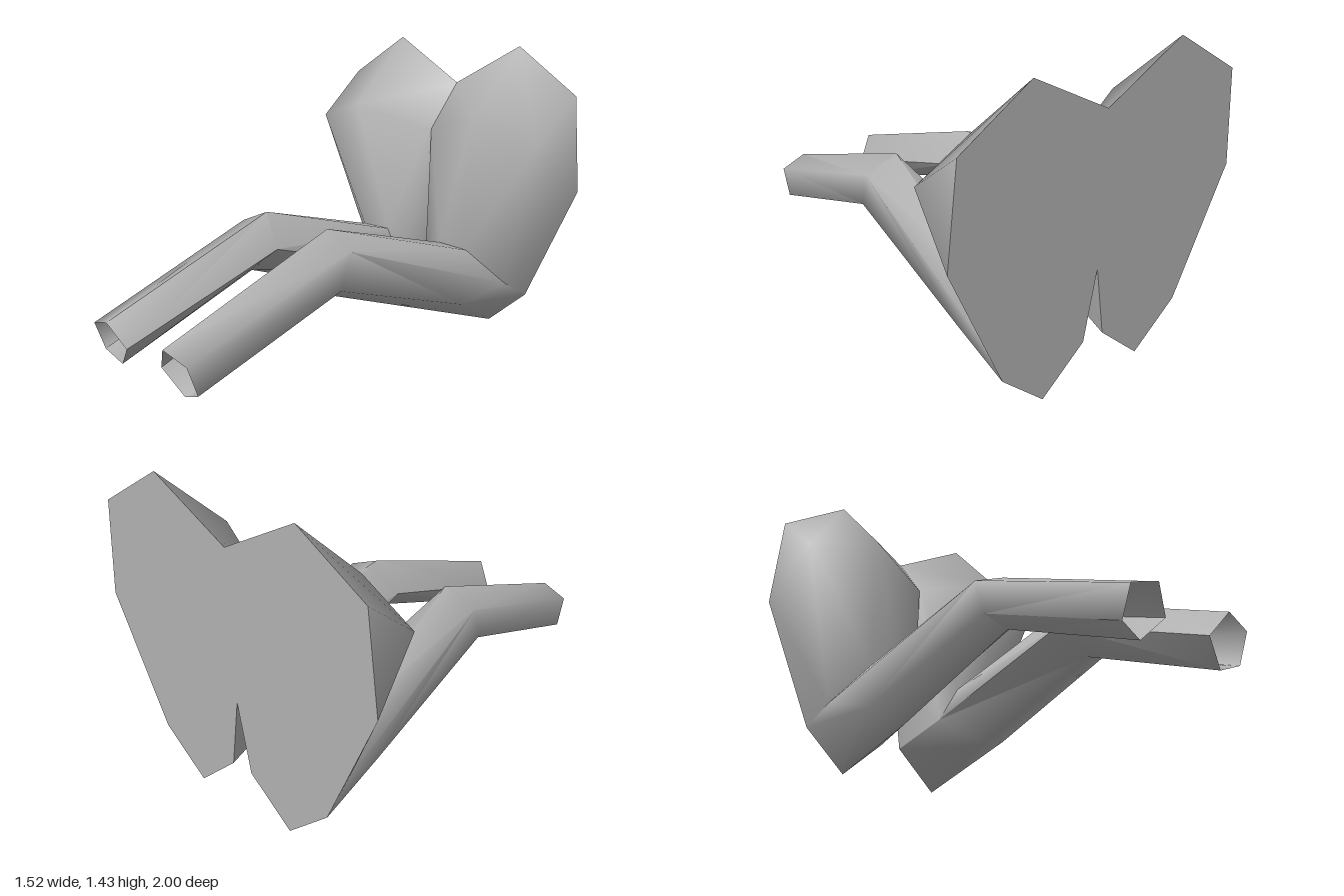
import * as THREE from 'three';
import { toCreasedNormals } from 'three/addons/utils/BufferGeometryUtils.js';

// Corner points of the left (+x) half
const points = {
  // flat back outline, clockwise from the top of the centre line
  R0: [0, 1.22, -1], R1: [0.385, 1.43, -1], R2: [0.72, 1.22, -1], R3: [0.76, 0.77, -1],
  R4: [0.49, 0.19, -1], R5: [0.27, 0, -1], R6: [0.055, 0.19, -1], R7: [0, 0.52, -1],
  M: [0.3, 0.6, -1],
  // front crest
  C: [0, 1, -0.81], P: [0.385, 1.1, -0.655], Q: [0.71, 1, -0.735],
  // hip ring where the leg leaves the body
  T: [0.18, 0.46, -0.69], U: [0.35, 0.455, -0.69], O: [0.47, 0.28, -0.85],
  L2: [0.41, 0.21, -0.6], L3: [0.24, 0.15, -0.55], H: [0.078, 0.28, -0.7],
  // knee ring
  K0: [0.21, 0.68, 0.11], K1: [0.375, 0.61, 0.12], K2: [0.365, 0.44, 0.17],
  K3: [0.24, 0.4, 0.18], K4: [0.097, 0.525, 0.14],
  // open end ring
  F0: [0.21, 0.345, 1], F1: [0.345, 0.305, 0.98], F2: [0.345, 0.17, 0.93],
  F3: [0.235, 0.127, 0.915], F4: [0.13, 0.235, 0.955],
};

const bodyFaces = [
  // upper slope and outer rim
  'R0 C P', 'R0 P R1', 'R1 P Q', 'R1 Q R2', 'R2 Q R3',
  // front, down to the hip
  'C T P', 'P T U', 'P U Q', 'Q U O', 'Q O R3', 'R3 O R4',
  // inner cleft
  'C H T', 'C R7 H', 'R7 R6 H',
];
// flat back
for (let i = 0; i < 8; i++) bodyFaces.push(`M R${i} R${(i + 1) % 8}`);

const legFaces = [
  // thigh
  'K0 K1 U T', 'K1 O U', 'K1 L2 O', 'K1 K2 L2', 'K2 K3 L3 L2', 'K3 K4 H L3', 'K4 K0 T H',
  // underside running to the back
  'O L2 R4', 'R4 L2 R5', 'L2 L3 R5', 'L3 R6 R5', 'H R6 L3',
];
// lower leg tube
for (let i = 0; i < 5; i++) {
  const j = (i + 1) % 5;
  legFaces.push(`F${i} F${j} K${j} K${i}`);
}

// Triangulates named faces; side -1 mirrors them in x
function buildGeometry(faces, side) {
  const positions = [];
  for (const face of faces) {
    const n = face.split(' ');
    for (let i = 1; i < n.length - 1; i++) {
      const tri = side > 0 ? [n[0], n[i], n[i + 1]] : [n[0], n[i + 1], n[i]];
      for (const name of tri) {
        const [x, y, z] = points[name];
        positions.push(x * side, y, z);
      }
    }
  }
  const geometry = new THREE.BufferGeometry();
  geometry.setAttribute('position', new THREE.Float32BufferAttribute(positions, 3));
  return toCreasedNormals(geometry, 1.3);
}

export function createModel() {
  const model = new THREE.Group();
  model.name = 'lowerBody';
  const grey = new THREE.MeshStandardMaterial({ color: 0xb0b0b0, side: THREE.DoubleSide });
  grey.name = 'grey';

  for (const [label, side] of [['left', 1], ['right', -1]]) {
    const body = new THREE.Mesh(buildGeometry(bodyFaces, side), grey);
    body.name = `${label}Hip`;
    const leg = new THREE.Mesh(buildGeometry(legFaces, side), grey);
    leg.name = `${label}Leg`;
    model.add(body, leg);
  }
  return model;
}
